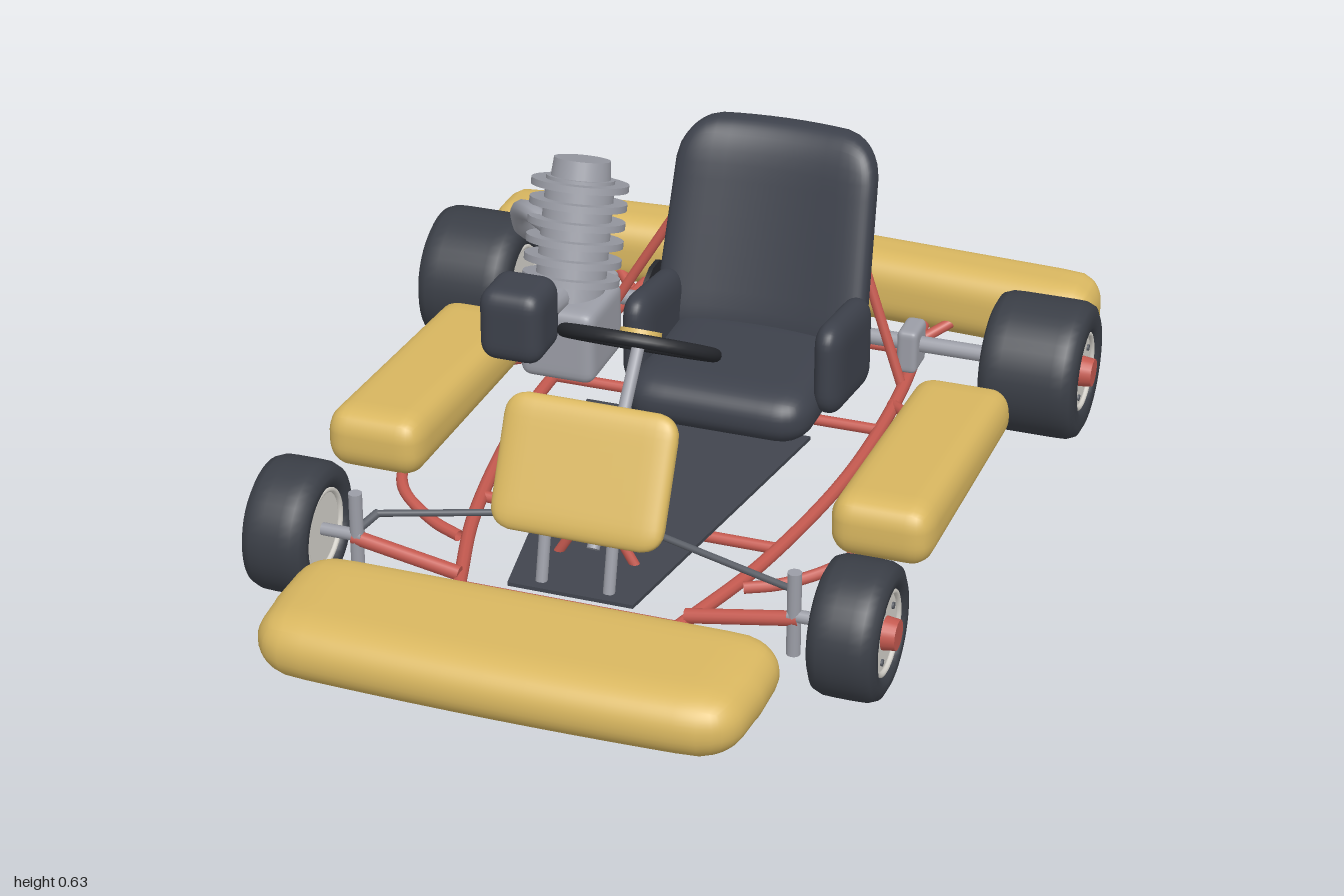
import * as THREE from 'three';
import { mergeVertices } from 'three/addons/utils/BufferGeometryUtils.js';

const mat = (name, color, double) => {
  const m = new THREE.MeshStandardMaterial({ color });
  m.name = name;
  if (double) m.side = THREE.DoubleSide;
  return m;
};

export function createModel() {
  const yellow = mat('yellow bodywork', 0xd9b760);
  const rubber = mat('tyre rubber', 0x3a3e46);
  const dark = mat('seat grey', 0x3d414b);
  const floorGrey = mat('floor grey', 0x41454e);
  const black = mat('black', 0x26282d);
  const red = mat('red frame', 0xc4594f, true);
  const metal = mat('metal', 0x9b9da6, true);
  const white = mat('rim white', 0xd6d3cc);
  const steel = mat('dark steel', 0x5a5e66);

  const kart = new THREE.Group();
  kart.name = 'kart';
  const V = (p) => new THREE.Vector3(...p);

  function add(parent, name, geo, material, pos = [0, 0, 0], rot = [0, 0, 0]) {
    const m = new THREE.Mesh(geo, material);
    m.name = name;
    m.position.set(...pos);
    m.rotation.set(...rot);
    parent.add(m);
    return m;
  }

  // Rounded block with its own radius per axis and an optional bending rule
  function puff(w, h, d, rx, ry, rz, warp) {
    const n = 18;
    const geo = new THREE.BoxGeometry(w, h, d, n, n, n);
    const half = V([w / 2, h / 2, d / 2]), r = V([rx, ry, rz]);
    const pos = geo.attributes.position, p = new THREE.Vector3();
    for (let i = 0; i < pos.count; i++) {
      p.fromBufferAttribute(pos, i);
      for (const a of 'xyz') p[a] = half[a] * Math.sin((p[a] / half[a]) * Math.PI / 2);
      const inner = p.clone();
      for (const a of 'xyz') inner[a] = THREE.MathUtils.clamp(p[a], r[a] - half[a], half[a] - r[a]);
      p.sub(inner).divide(r).normalize().multiply(r).add(inner);
      if (warp) warp(p);
      pos.setXYZ(i, p.x, p.y, p.z);
    }
    geo.deleteAttribute('normal');
    geo.deleteAttribute('uv');
    const out = mergeVertices(geo, 1e-5);
    out.computeVertexNormals();
    return out;
  }

  // Bent tube through points, and straight capped rod
  const tube = (name, pts, r, material) => add(kart, name,
    new THREE.TubeGeometry(new THREE.CatmullRomCurve3(pts.map(V)), pts.length * 8, r, 10), material);
  function rod(name, a, b, r, material) {
    const A = V(a), B = V(b), dir = B.clone().sub(A);
    const m = add(kart, name, new THREE.CylinderGeometry(r, r, dir.length(), 14), material);
    m.position.copy(A).add(B).multiplyScalar(0.5);
    m.quaternion.setFromUnitVectors(V([0, 1, 0]), dir.normalize());
  }

  // Bodywork
  add(kart, 'frontBumper', puff(0.98, 0.135, 0.335, 0.09, 0.065, 0.08, (p) => {
    if (p.z > 0) p.x *= 1 - 0.15 * p.z;
    p.z -= 0.06 * p.x * p.x * (p.z > 0 ? 1 : 0);
  }), yellow, [0, 0.135, 0.825]);
  add(kart, 'rearBumper', puff(1.41, 0.165, 0.17, 0.06, 0.065, 0.06, (p) => {
    p.z += 0.04 * Math.abs(p.x) / 0.7;
  }), yellow, [0, 0.152, -0.915]);
  for (const s of [1, -1]) {
    add(kart, 'sidePod', puff(0.21, 0.125, 0.66, 0.045, 0.055, 0.05, (p) => {
      p.y += p.z * 0.035 + (p.y > 0 ? p.z * 0.03 : 0);
    }), yellow, [s * 0.537, 0.168, -0.07]);
  }
  add(kart, 'frontPanel', puff(0.355, 0.27, 0.048, 0.045, 0.045, 0.02), yellow, [0, 0.327, 0.443], [-0.455, 0, 0]);

  // Floor pan, tapering forward
  const pan = new THREE.Shape([[-0.25, 0.23], [-0.13, -0.53], [0.13, -0.53], [0.25, 0.23]].map((p) => new THREE.Vector2(...p)));
  add(kart, 'floorPan', new THREE.ExtrudeGeometry(pan, { depth: 0.008, bevelEnabled: false }), floorGrey, [0, 0.094, 0], [-Math.PI / 2, 0, 0]);

  // Tubular frame
  const y = 0.082;
  for (const s of [1, -1]) {
    tube('mainRail', [[0.18, y, 0.7], [0.24, y, 0.5], [0.3, y, 0.29], [0.355, y, -0.05], [0.368, y, -0.3],
      [0.355, y, -0.61], [0.32, 0.095, -0.86]].map(([a, b, c]) => [s * a, b, c]), 0.014, red);
    tube('podBar', [[0.3, y, 0.365], [0.37, 0.088, 0.335], [0.46, 0.11, 0.27], [0.5, 0.12, 0.14], [0.5, 0.12, -0.25],
      [0.44, 0.1, -0.37], [0.36, y, -0.46]].map(([a, b, c]) => [s * a, b, c]), 0.012, red);
    rod('frontBumperStrut', [s * 0.215, y, 0.55], [s * 0.3, 0.12, 0.7], 0.012, red);
    rod('rearBumperStrut', [s * 0.335, y, -0.77], [s * 0.41, 0.12, -0.84], 0.012, red);
    rod('frontAxleArm', [s * 0.235, 0.095, 0.52], [s * 0.46, 0.135, 0.52], 0.015, red);
    rod('frontSpindle', [s * 0.44, 0.14, 0.52], [s * 0.58, 0.14, 0.52], 0.013, metal);
    rod('kingpin', [s * 0.452, 0.055, 0.52], [s * 0.452, 0.235, 0.52], 0.014, metal);
    rod('steeringArm', [s * 0.452, 0.15, 0.52], [s * 0.43, 0.165, 0.465], 0.009, steel);
    rod('tieRod', [s * 0.435, 0.165, 0.47], [s * 0.03, 0.19, 0.365], 0.007, steel);
    rod('columnPost', [s * 0.09, y, 0.38], [s * 0.02, 0.2, 0.38], 0.01, red);
    rod('panelBracket', [s * 0.07, 0.1, 0.5], [s * 0.07, 0.27, 0.46], 0.012, metal);
    add(kart, 'axleBearing', puff(0.045, 0.1, 0.085, 0.012, 0.012, 0.012), metal, [s * 0.355, 0.145, -0.62]);
  }
  for (const [z, x] of [[0.545, 0.225], [0.2, 0.32], [-0.34, 0.365], [-0.715, 0.335]])
    rod('crossTube', [-x, y, z], [x, y, z], 0.012, red);
  rod('seatStrut', [-0.355, y, -0.55], [-0.265, 0.24, -0.57], 0.011, red);
  rod('seatStrut', [-0.265, 0.24, -0.57], [-0.17, 0.4, -0.585], 0.011, red);
  rod('seatStrut', [0.355, y, -0.55], [0.25, 0.37, -0.57], 0.011, red);

  // Rear axle and sprocket
  rod('rearAxle', [-0.6, 0.152, -0.62], [0.6, 0.152, -0.62], 0.018, metal);
  rod('sprocket', [-0.241, 0.152, -0.62], [-0.231, 0.152, -0.62], 0.095, black);
  rod('sprocketHub', [-0.255, 0.152, -0.62], [-0.215, 0.152, -0.62], 0.035, metal);

  // Wheels
  function wheel(name, x, cy, z, R, w) {
    const g = new THREE.Group();
    g.name = name;
    g.position.set(x, cy, z);
    if (x < 0) g.rotation.y = Math.PI;
    const h = w / 2, side = [0, 0, -Math.PI / 2], ri = 0.085;
    const half = [[ri, h - 0.03], [ri, h - 0.01], [ri + 0.012, h], [R - 0.025, h], [R - 0.008, h - 0.008], [R - 0.001, h - 0.025], [R, h - 0.05]];
    const prof = [...half.map(([a, b]) => [a, -b]), ...half.slice().reverse()].map((p) => new THREE.Vector2(...p));
    add(g, 'tyre', new THREE.LatheGeometry(prof, 40), rubber, [0, 0, 0], side);
    add(g, 'rim', new THREE.CylinderGeometry(ri, ri, w - 0.03, 32), white, [0, 0, 0], side);
    for (const s of [1, -1])
      add(g, 'rimLip', new THREE.TorusGeometry(ri - 0.004, 0.006, 8, 32), white, [s * (h - 0.012), 0, 0], [0, Math.PI / 2, 0]);
    add(g, 'hub', new THREE.CylinderGeometry(0.03, 0.035, 0.04, 20), red, [h - 0.008, 0, 0], side);
    for (let i = 0; i < 5; i++) {
      const a = i * Math.PI * 0.4 + 0.3;
      add(g, 'bolt', new THREE.CylinderGeometry(0.007, 0.007, 0.006, 10), steel, [h - 0.014, 0.058 * Math.cos(a), 0.058 * Math.sin(a)], side);
    }
    kart.add(g);
  }
  for (const s of [1, -1]) {
    wheel('frontWheel', s * 0.579, 0.14, 0.522, 0.137, 0.136);
    wheel('rearWheel', s * 0.643, 0.151, -0.615, 0.15, 0.21);
  }

  // Seat
  add(kart, 'seatCushion', puff(0.41, 0.12, 0.4, 0.07, 0.055, 0.08), dark, [0.06, 0.165, -0.33]);
  add(kart, 'seatBack', puff(0.455, 0.46, 0.1, 0.085, 0.085, 0.04, (p) => {
    p.x *= 1 - 0.18 * p.y;
    p.z += 0.7 * p.x * p.x - 0.31 * p.y;
  }), dark, [0.06, 0.4, -0.555]);
  for (const x of [-0.145, 0.277])
    add(kart, 'seatWing', puff(0.065, 0.21, 0.28, 0.03, 0.05, 0.06, (p) => { p.y += p.z * 0.15; }), dark, [x, 0.235, -0.36]);

  // Steering
  rod('steeringColumn', [0, 0.13, 0.4], [0, 0.45, 0.135], 0.013, metal);
  const steer = new THREE.Group();
  steer.name = 'steeringWheel';
  steer.position.set(0, 0.455, 0.13);
  steer.rotation.x = -Math.PI * 2 / 3;
  kart.add(steer);
  add(steer, 'wheelRim', new THREE.TorusGeometry(0.152, 0.014, 12, 48), black);
  for (const a of [0, Math.PI, -Math.PI / 2])
    add(steer, 'spoke', new THREE.BoxGeometry(0.15, 0.022, 0.01), black, [0.075 * Math.cos(a), 0.075 * Math.sin(a), 0], [0, 0, a]);
  add(steer, 'wheelHub', new THREE.CylinderGeometry(0.042, 0.045, 0.035, 24), yellow, [0, 0, 0.008], [Math.PI / 2, 0, 0]);

  // Engine with a finned cylinder leaning back
  add(kart, 'crankcase', puff(0.17, 0.17, 0.2, 0.025, 0.025, 0.025), metal, [-0.345, 0.18, -0.39]);
  const engine = new THREE.Group();
  engine.name = 'engineCylinder';
  engine.position.set(-0.355, 0.2, -0.39);
  engine.rotation.x = -0.308;
  kart.add(engine);
  add(engine, 'barrel', new THREE.CylinderGeometry(0.075, 0.078, 0.31, 28), metal, [0, 0.155, 0]);
  for (let i = 0; i < 6; i++)
    add(engine, 'fin', new THREE.CylinderGeometry(0.106, 0.106, 0.015, 32), metal, [0, 0.09 + i * 0.041, 0]);
  add(engine, 'cylinderHead', new THREE.CylinderGeometry(0.062, 0.066, 0.05, 28), metal, [0, 0.325, 0]);
  add(kart, 'airBox', puff(0.142, 0.165, 0.14, 0.035, 0.04, 0.035), dark, [-0.378, 0.303, -0.172]);
  rod('intake', [-0.37, 0.28, -0.2], [-0.355, 0.27, -0.38], 0.03, metal);
  tube('exhaust', [[-0.4, 0.39, -0.43], [-0.46, 0.405, -0.46], [-0.515, 0.37, -0.53], [-0.53, 0.3, -0.59],
    [-0.515, 0.255, -0.67], [-0.485, 0.24, -0.77]], 0.022, metal);

  return kart;
}
